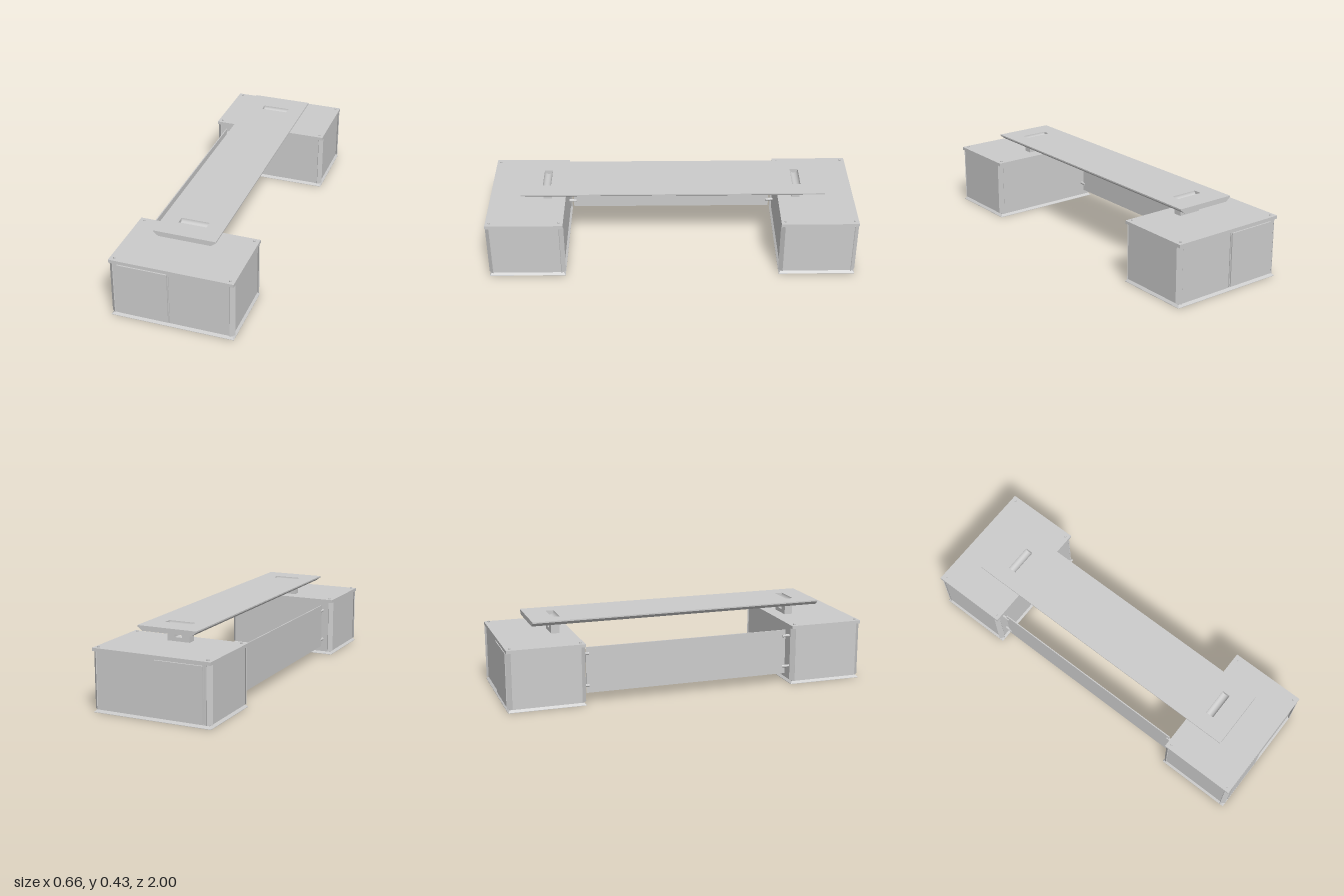
import * as THREE from 'three';

const mat = new THREE.MeshStandardMaterial({ color: 0xcccccc, flatShading: true });
const openMat = new THREE.MeshStandardMaterial({ color: 0xcccccc, side: THREE.DoubleSide });

function add(parent, name, geometry, material = mat) {
  const mesh = new THREE.Mesh(geometry, material);
  mesh.name = name;
  parent.add(mesh);
  return mesh;
}

// Box given by its limits on each axis
function box(parent, name, x0, x1, y0, y1, z0, z1) {
  const mesh = add(parent, name, new THREE.BoxGeometry(x1 - x0, y1 - y0, z1 - z0));
  mesh.position.set((x0 + x1) / 2, (y0 + y1) / 2, (z0 + z1) / 2);
  return mesh;
}

// Closed rectangular ring swept from [halfX, halfZ, y] section points
function ringGeometry(section) {
  const corners = [[1, 1], [1, -1], [-1, -1], [-1, 1]];
  const pos = [];
  const n = section.length;
  const point = (c, s) => [corners[c][0] * section[s][0], section[s][2], corners[c][1] * section[s][1]];
  for (let c = 0; c < 4; c++) {
    for (let s = 0; s < n; s++) {
      const d = (c + 1) % 4, t = (s + 1) % n;
      const a = point(c, s), b = point(d, s), e = point(d, t), f = point(c, t);
      pos.push(...a, ...b, ...e, ...a, ...e, ...f);
    }
  }
  const g = new THREE.BufferGeometry();
  g.setAttribute('position', new THREE.Float32BufferAttribute(pos, 3));
  g.computeVertexNormals();
  return g;
}

// Cross-section in x and y, extruded between two z positions
function prism(parent, name, points, z0, z1) {
  const shape = new THREE.Shape(points.map(p => new THREE.Vector2(...p)));
  const g = new THREE.ExtrudeGeometry(shape, { depth: z1 - z0, bevelEnabled: false });
  g.translate(0, 0, z0);
  return add(parent, name, g);
}

const HX = 0.328, HZ = 0.208, CZ = 0.792;  // cabinet half sizes and centre
const WX = 0.317, WZ = 0.197, T = 0.006;   // wall planes and thickness

// Hollow cabinet; out is +1 or -1, the z side that carries the door
function cabinet(out) {
  const g = new THREE.Group();
  g.name = out > 0 ? 'frontCabinet' : 'backCabinet';
  g.position.z = out * CZ;

  box(g, 'lid', -HX, HX, 0.316, 0.333, -HZ, HZ);
  add(g, 'skirt', ringGeometry([
    [HX, HZ, 0], [HX, HZ, 0.002], [0.313, 0.193, 0.018], [0.307, 0.187, 0.018], [0.307, 0.187, 0]]));
  for (const s of [-1, 1]) {
    const wx = s * (WX - T / 2), wz = s * (WZ - T / 2);
    box(g, 'sideWall', wx - T / 2, wx + T / 2, 0.012, 0.316, -WZ, WZ);
    box(g, 'endWall', -WX + T, WX - T, 0.012, 0.316, wz - T / 2, wz + T / 2);
  }
  // Floor under the door half only
  box(g, 'halfFloor', -0.311, -0.015, 0.012, 0.018, -0.191, 0.191);

  // Angled strips over the corners, bolts above them
  for (const sx of [-1, 1]) for (const sz of [-1, 1]) {
    const post = add(g, 'cornerStrip', new THREE.BoxGeometry(0.031, 0.298, 0.004));
    post.position.set(sx * WX, 0.167, sz * WZ);
    post.rotation.y = Math.atan2(sx, sz);
    const bolt = add(g, 'lidBolt', new THREE.CylinderGeometry(0.006, 0.006, 0.008, 12));
    bolt.position.set(sx * 0.303, 0.336, sz * 0.185);
  }

  // Door with a narrow raised frame
  const door = new THREE.Group();
  door.name = 'door';
  const frame = new THREE.Shape([[-0.29, 0.018], [-0.013, 0.018], [-0.013, 0.316], [-0.29, 0.316]]
    .map(p => new THREE.Vector2(...p)));
  frame.holes.push(new THREE.Path([[-0.285, 0.021], [-0.285, 0.31], [-0.018, 0.31], [-0.018, 0.021]]
    .map(p => new THREE.Vector2(...p))));
  const fg = new THREE.ExtrudeGeometry(frame, { depth: 0.006, bevelEnabled: false });
  fg.translate(0, 0, out > 0 ? WZ - 0.001 : -WZ - 0.005);
  add(door, 'doorFrame', fg);
  const dz = out * (WZ + 0.005);
  box(door, 'doorPanel', -0.284, -0.019, 0.022, 0.309, dz - 0.006, dz + 0.006);
  g.add(door);
  return g;
}

// Bevelled plank with a rounded hand slot near each end
function plank() {
  const g = new THREE.Group();
  g.name = 'topPlank';
  const B = 0.4, M = 0.42, Y = 0.427, S0 = -0.07, S1 = 0.08, C = 0.68, R = 0.0225;
  const full = [[-0.135, B], [0.145, B], [0.171, M], [0.171, Y], [-0.161, Y], [-0.161, M]];
  const left = [[-0.135, B], [S0, B], [S0, Y], [-0.161, Y], [-0.161, M]];
  const right = [[S1, B], [0.145, B], [0.171, M], [0.171, Y], [S1, Y]];
  prism(g, 'plankEnd', full, -0.825, -C - R);
  prism(g, 'plankMiddle', full, -C + R, C - R);
  prism(g, 'plankEnd', full, C + R, 0.815);
  for (const z of [-C, C]) {
    prism(g, 'slotSide', left, z - R, z + R);
    prism(g, 'slotSide', right, z - R, z + R);
    box(g, 'slotBase', S0, S1, B, B + 0.003, z - R, z + R);
    const trough = new THREE.CylinderGeometry(R, R, S1 - S0, 20, 1, true, Math.PI, Math.PI);
    trough.rotateZ(Math.PI / 2);
    trough.rotateX(0);
    // Open side of the half pipe faces up
    const p = trough.attributes.position;
    for (let i = 0; i < p.count; i++) p.setY(i, -Math.abs(p.getY(i)));
    trough.computeVertexNormals();
    const slot = add(g, 'handSlot', trough, openMat);
    slot.position.set((S0 + S1) / 2, Y, z);
  }
  return g;
}

export function createModel() {
  const model = new THREE.Group();
  model.name = 'plankBench';
  model.add(cabinet(1), cabinet(-1), plank());

  // Plank supports with a rectangular window
  for (const s of [-1, 1]) {
    const z0 = s * 0.682 - 0.023, z1 = s * 0.682 + 0.023;
    const shape = new THREE.Shape([[-0.06, 0.332], [0.067, 0.332], [0.067, 0.401], [-0.06, 0.401]]
      .map(p => new THREE.Vector2(...p)));
    shape.holes.push(new THREE.Path([[-0.016, 0.354], [-0.016, 0.372], [0.026, 0.372], [0.026, 0.354]]
      .map(p => new THREE.Vector2(...p))));
    const g = new THREE.ExtrudeGeometry(shape, { depth: z1 - z0, bevelEnabled: false });
    g.translate(0, 0, z0);
    add(model, 'plankSupport', g);
  }

  // Thin side panel held by pins at both ends
  box(model, 'sidePanel', -0.27, -0.264, 0.05, 0.3, -0.57, 0.57);
  for (const s of [-1, 1]) for (const y of [0.09, 0.265]) {
    const pin = add(model, 'panelPin', new THREE.CylinderGeometry(0.008, 0.008, 0.042, 12));
    pin.rotation.x = Math.PI / 2;
    pin.position.set(-0.267, y, s * 0.575);
  }
  return model;
}
